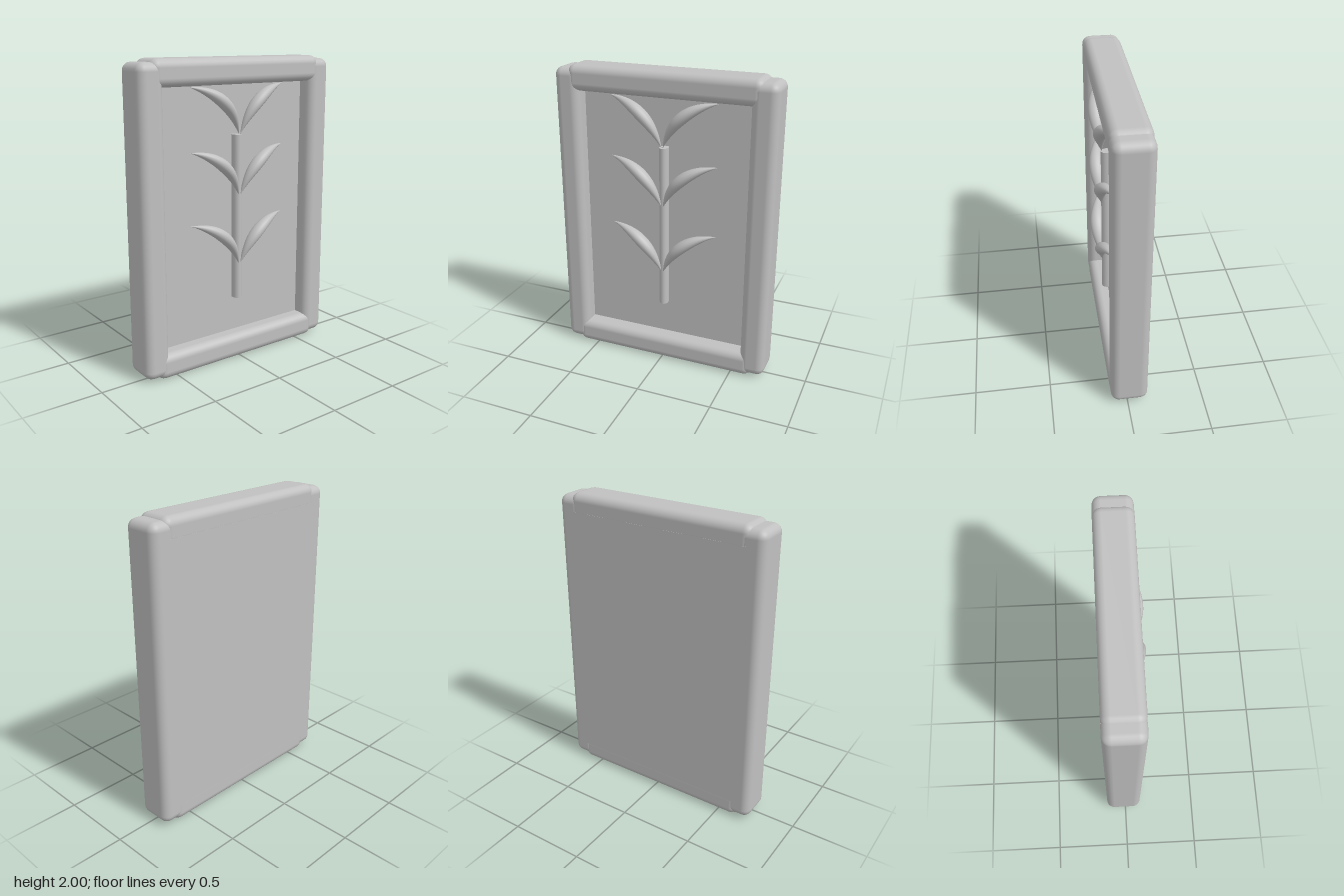
import * as THREE from 'three';
import { RoundedBoxGeometry } from 'three/addons/geometries/RoundedBoxGeometry.js';

export function createModel() {
  const group = new THREE.Group();
  const grey = new THREE.MeshStandardMaterial({ color: 0xc0c0c0 });
  grey.name = 'plain grey';

  const add = (name, geometry, x, y, z) => {
    const mesh = new THREE.Mesh(geometry, grey);
    mesh.name = name;
    mesh.position.set(x, y, z);
    group.add(mesh);
  };

  // Frame: two tall rounded posts and two rounded rails
  const depth = 0.243, frameZ = -0.0135;
  for (const [side, label] of [[1, 'left'], [-1, 'right']]) {
    add(label + 'Post', new RoundedBoxGeometry(0.168, 1.96, depth, 3, 0.053), side * 0.648, 1, frameZ);
  }
  for (const [y, label] of [[1.916, 'top'], [0.084, 'bottom']]) {
    add(label + 'Rail', new RoundedBoxGeometry(1.285, 0.168, depth, 3, 0.053), 0, y, frameZ);
  }

  // Panel filling the frame: deeply recessed in front, flush at the back
  add('panel', new THREE.BoxGeometry(1.245, 1.76, 0.137), 0, 1, -0.0665);

  // Raised plant: a straight oval stem with three pairs of leaves
  add('stem', new THREE.CylinderGeometry(0.03, 0.03, 1.1, 16).scale(1, 1, 1.3), 0, 0.965, 0.037);

  // A sphere stretched along a forward-arching curve makes one pointed leaf
  const leafGeometry = (side) => {
    const curve = new THREE.QuadraticBezierCurve(
      new THREE.Vector2(0, 0),
      new THREE.Vector2(side * 0.09, 0.265),
      new THREE.Vector2(side * 0.36, 0.308)
    );
    const g = new THREE.SphereGeometry(1, 20, 20).rotateY(-Math.PI / 2);
    const pos = g.attributes.position;
    for (let i = 0; i < pos.count; i++) {
      const t = Math.acos(THREE.MathUtils.clamp(-pos.getY(i), -1, 1)) / Math.PI;
      const p = curve.getPoint(t), d = curve.getTangent(t);
      const w = pos.getX(i) * 0.038;
      const arch = 0.07 - 0.02 * t + 0.03 * Math.sin(Math.PI * t);
      pos.setXYZ(i, p.x + d.y * w, p.y - d.x * w, arch + pos.getZ(i) * 0.045);
    }
    g.computeVertexNormals();
    return g;
  };
  for (const [side, label] of [[1, 'left'], [-1, 'right']]) {
    const leaf = leafGeometry(side);
    for (const y of [0.655, 1.12, 1.518]) add(label + 'Leaf', leaf, side * 0.004, y, 0);
  }

  return group;
}
